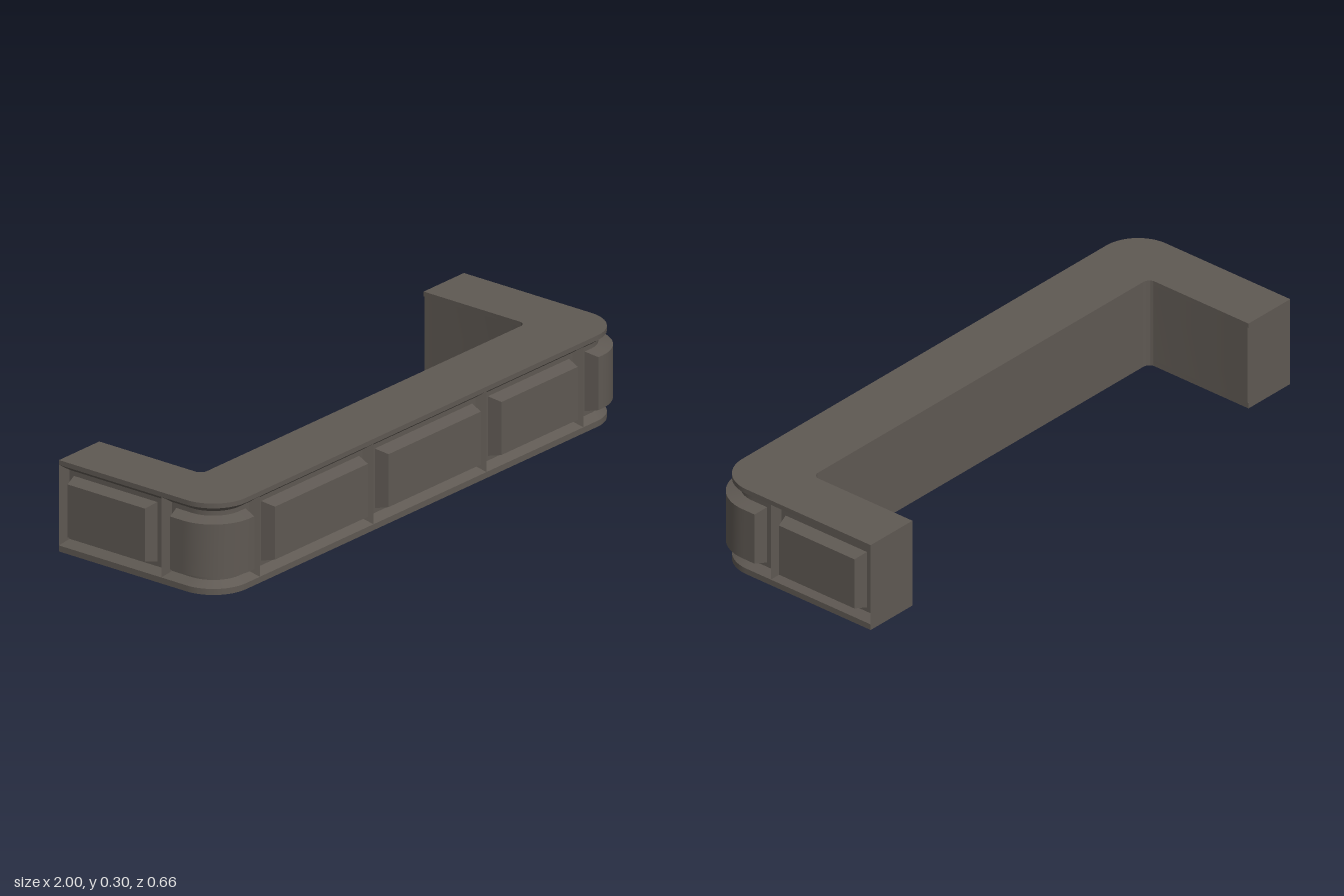
import * as THREE from 'three';
import { toCreasedNormals } from 'three/addons/utils/BufferGeometryUtils.js';

const X = 0.98, FRONT = 0.31, BACK = -0.328, R = 0.13;   // outer footprint
const INNER_X = 0.785, INNER_Z = 0.08, INNER_R = 0.025;  // inner footprint
const Y0 = 0.02, Y1 = 0.288, TOP = 0.304;                // panelled band and total height
const DEPTH = 0.026;                                     // recess behind the outer face

const SIDE = FRONT - R - BACK, ARC = R * Math.PI / 2, HALF = X - R;
const TOTAL = 2 * (SIDE + ARC + HALF);

// Point on the outer face at distance s along it, pushed outward by `out`
function outerPoint(s, y, out) {
  if (s > TOTAL / 2) {
    const p = outerPoint(TOTAL - s, y, out);
    return [-p[0], p[1], p[2]];
  }
  if (s <= SIDE) return [-X - out, y, BACK + s];
  if (s >= SIDE + ARC) return [-HALF + s - SIDE - ARC, y, FRONT + out];
  const a = (s - SIDE) / R;
  return [-HALF - (R + out) * Math.cos(a), y, FRONT - R + (R + out) * Math.sin(a)];
}

// Closed loop around a cell, inset from its borders
function ring(s0, s1, n, inset, out) {
  const low = [], high = [];
  for (let i = 0; i <= n; i++) {
    const s = s0 + inset + (s1 - s0 - 2 * inset) * i / n;
    low.push(outerPoint(s, Y0 + inset * 0.92, out));
    high.unshift(outerPoint(s, Y1 - inset * 0.92, out));
  }
  return [...low, ...high];
}

// Skin between successive loops, optionally closing the last one with a face
function loft(rings, n, closed) {
  const pos = [];
  const quad = (a, b, c, d) => pos.push(...a, ...b, ...c, ...a, ...c, ...d);
  for (let k = 0; k + 1 < rings.length; k++) {
    const a = rings[k], b = rings[k + 1];
    a.forEach((p, i) => {
      const j = (i + 1) % a.length;
      quad(p, a[j], b[j], b[i]);
    });
  }
  if (closed) {
    const f = rings[rings.length - 1], m = f.length - 1;
    for (let i = 0; i < n; i++) quad(f[i], f[i + 1], f[m - i - 1], f[m - i]);
  }
  const g = new THREE.BufferGeometry();
  g.setAttribute('position', new THREE.Float32BufferAttribute(pos, 3));
  return toCreasedNormals(g, 0.5);
}

// U-shaped slab from y0 to y1, with its outer edge moved in by `inset`
function slab(y0, y1, inset, back) {
  const x = X - inset, f = FRONT - inset, r = R - inset;
  const s = new THREE.Shape();
  // shape y is -z
  s.moveTo(-x, -back);
  s.lineTo(-x, -(f - r));
  s.absarc(-x + r, -(f - r), r, Math.PI, Math.PI * 1.5, false);
  s.lineTo(x - r, -f);
  s.absarc(x - r, -(f - r), r, -Math.PI / 2, 0, false);
  s.lineTo(x, -back);
  s.lineTo(INNER_X, -back);
  s.lineTo(INNER_X, -(INNER_Z - INNER_R));
  s.absarc(INNER_X - INNER_R, -(INNER_Z - INNER_R), INNER_R, 0, -Math.PI / 2, true);
  s.lineTo(-INNER_X + INNER_R, -INNER_Z);
  s.absarc(-INNER_X + INNER_R, -(INNER_Z - INNER_R), INNER_R, -Math.PI / 2, -Math.PI, true);
  s.lineTo(-INNER_X, -back);
  s.closePath();
  const g = new THREE.ExtrudeGeometry(s, { depth: y1 - y0, bevelEnabled: false, curveSegments: 12 });
  g.rotateX(-Math.PI / 2).translate(0, y0, 0);
  return toCreasedNormals(g, 0.5);
}

export function createModel() {
  const group = new THREE.Group();
  const material = new THREE.MeshStandardMaterial({ color: 0x5f5953 });
  const add = (name, geometry) => {
    const mesh = new THREE.Mesh(geometry, material);
    mesh.name = name;
    group.add(mesh);
    return mesh;
  };

  // Counter body
  add('plinth', slab(0, Y0, 0, BACK));
  add('core', slab(Y0, Y1, DEPTH + 0.004, BACK + 0.004));
  add('counterTop', slab(Y1, TOP, 0, BACK));

  // Flat ends of the two arms
  for (const side of [-1, 1]) {
    const end = add('armEnd', new THREE.PlaneGeometry(X - INNER_X, Y1 - Y0));
    end.rotation.y = Math.PI;
    end.position.set(side * (X + INNER_X) / 2, (Y0 + Y1) / 2, BACK);
  }

  // Recessed cells with raised panels, divided by sharp ridges
  const onFront = (x) => TOTAL / 2 + x;
  const sideRidge = 0.08 - BACK;
  const ridges = [0, sideRidge, onFront(-0.783), onFront(-0.233), onFront(0.314),
    onFront(0.783), TOTAL - sideRidge, TOTAL];
  for (let i = 0; i + 1 < ridges.length; i++) {
    const s0 = ridges[i], s1 = ridges[i + 1];
    const corner = i === 1 || i === 5;
    const n = corner ? 24 : 1;
    const foot = ring(s0, s1, n, 0.038, -DEPTH);
    add(corner ? 'cornerFrame' : 'panelFrame',
      loft([ring(s0, s1, n, 0, 0), ring(s0, s1, n, 0.021, -DEPTH), foot], n, false));
    add(corner ? 'cornerPanel' : 'raisedPanel',
      loft([foot, ring(s0, s1, n, 0.05, 0.019)], n, true));
  }
  return group;
}
